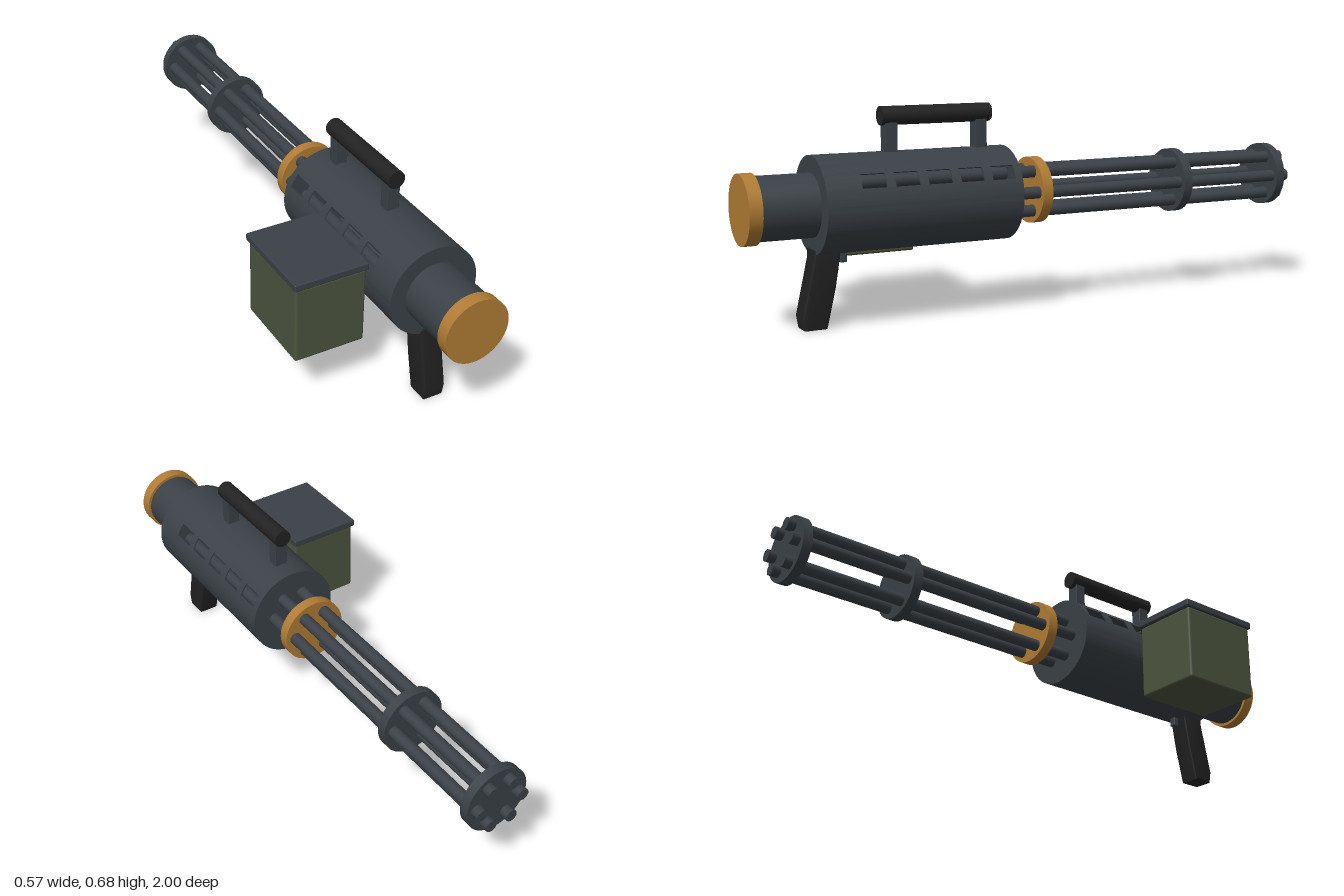
import * as THREE from 'three';
import { toCreasedNormals } from 'three/addons/utils/BufferGeometryUtils.js';
import { RoundedBoxGeometry } from 'three/addons/geometries/RoundedBoxGeometry.js';

const AX = 0.13, AY = 0.385; // long axis of the weapon
const R = 0.154, WALL = 0.005; // housing radius and wall

function material(name, color) {
  const m = new THREE.MeshStandardMaterial({ color });
  m.name = name;
  return m;
}

export function createModel() {
  const gunmetal = material('gunmetal', 0x3b4147);
  const black = material('black grip', 0x222222);
  const brass = material('brass', 0xb07c34);
  const green = material('olive green', 0x4c543e);
  const model = new THREE.Group();
  model.name = 'rotaryGun';

  function add(name, geometry, mat, x = 0, y = 0, z = 0) {
    const mesh = new THREE.Mesh(geometry, mat);
    mesh.name = name;
    mesh.position.set(x, y, z);
    model.add(mesh);
    return mesh;
  }

  // cylinder lying along z between two z values
  function rod(name, r, z0, z1, mat, x = AX, y = AY, sides = 48) {
    const g = new THREE.CylinderGeometry(r, r, z1 - z0, sides).rotateX(Math.PI / 2);
    return add(name, g, mat, x, y, (z0 + z1) / 2);
  }

  function box(name, size, mat, x, y, z, round = 0.004) {
    return add(name, new RoundedBoxGeometry(...size, 2, round), mat, x, y, z);
  }

  // curved piece of the housing wall, angles in degrees
  function wall(a0, a1, z0, z1) {
    const s = THREE.MathUtils.degToRad(a0), e = THREE.MathUtils.degToRad(a1);
    const shape = new THREE.Shape();
    shape.absarc(0, 0, R, s, e, false);
    shape.absarc(0, 0, R - WALL, e, s, true);
    const g = new THREE.ExtrudeGeometry(shape, {
      depth: z1 - z0, bevelEnabled: false, curveSegments: Math.max(4, Math.ceil((a1 - a0) / 4)),
    });
    add('housingWall', toCreasedNormals(g, 0.5), gunmetal, AX, AY, z0);
  }

  // hollow housing with five vent slots on each side
  const Z0 = 0.115, Z1 = 0.775, LOW = 23, HIGH = 41;
  wall(HIGH, 180 - HIGH, Z0, Z1);
  wall(180 - LOW, 360 + LOW, Z0, Z1);
  let edge = Z0;
  for (let i = 0; i <= 5; i++) {
    const centre = 0.18 + i * 0.11;
    const end = i < 5 ? centre - 0.04 : Z1;
    wall(LOW, HIGH, edge, end);
    wall(180 - HIGH, 180 - LOW, edge, end);
    edge = centre + 0.04;
  }
  rod('housingFrontPlate', R - 0.001, Z0, Z0 + 0.01, gunmetal);
  rod('housingRearPlate', R - 0.001, Z1 - 0.01, Z1, gunmetal);

  // motor tube and end cap
  rod('motorTube', 0.1, 0.77, 0.97, gunmetal);
  rod('endCap', 0.11, 0.958, 1, brass);

  // six barrels held by three discs
  for (let i = 0; i < 6; i++) {
    const a = (i * Math.PI) / 3;
    rod('barrel', 0.02, -1, 0.7, gunmetal, AX + 0.075 * Math.cos(a), AY + 0.075 * Math.sin(a), 20);
  }
  rod('barrelCollar', 0.11, -0.016, 0.02, brass);
  rod('middleClamp', 0.11, -0.57, -0.537, gunmetal);
  rod('muzzleClamp', 0.11, -0.972, -0.94, gunmetal);

  // carrying handle
  rod('carryHandle', 0.03, 0.167, 0.545, black, AX, 0.65, 32);
  for (const z of [0.202, 0.514]) box('handlePost', [0.043, 0.12, 0.04], gunmetal, AX, 0.585, z, 0.002);

  // slanted pistol grip: side profile as (z, y), extruded across x
  const B = 0.006;
  const profile = [[0.774, 0.243], [0.774, 0.22], [0.814, 0.04], [0.808, 0.006],
    [0.746, 0.006], [0.718, 0.125], [0.698, 0.243]];
  const gripShape = new THREE.Shape(profile.map(([z, y]) => new THREE.Vector2(-z, y)));
  const gripGeo = new THREE.ExtrudeGeometry(gripShape, {
    depth: 0.074 - 2 * B, bevelThickness: B, bevelSize: B, bevelSegments: 3,
  }).translate(0, 0, -(0.074 - 2 * B) / 2).rotateY(Math.PI / 2);
  add('pistolGrip', toCreasedNormals(gripGeo, 0.6), black, AX);
  box('trigger', [0.024, 0.04, 0.022], gunmetal, AX, 0.22, 0.675);

  // ammunition box, lid and feed mount
  box('ammoBox', [0.242, 0.265, 0.3], green, -0.159, 0.316, 0.51, 0.008);
  box('ammoBoxLid', [0.254, 0.025, 0.316], gunmetal, -0.159, 0.461, 0.508);
  box('feedMount', [0.05, 0.085, 0.115], gunmetal, -0.013, 0.388, 0.51, 0.01).rotation.z = -0.15;

  return model;
}
